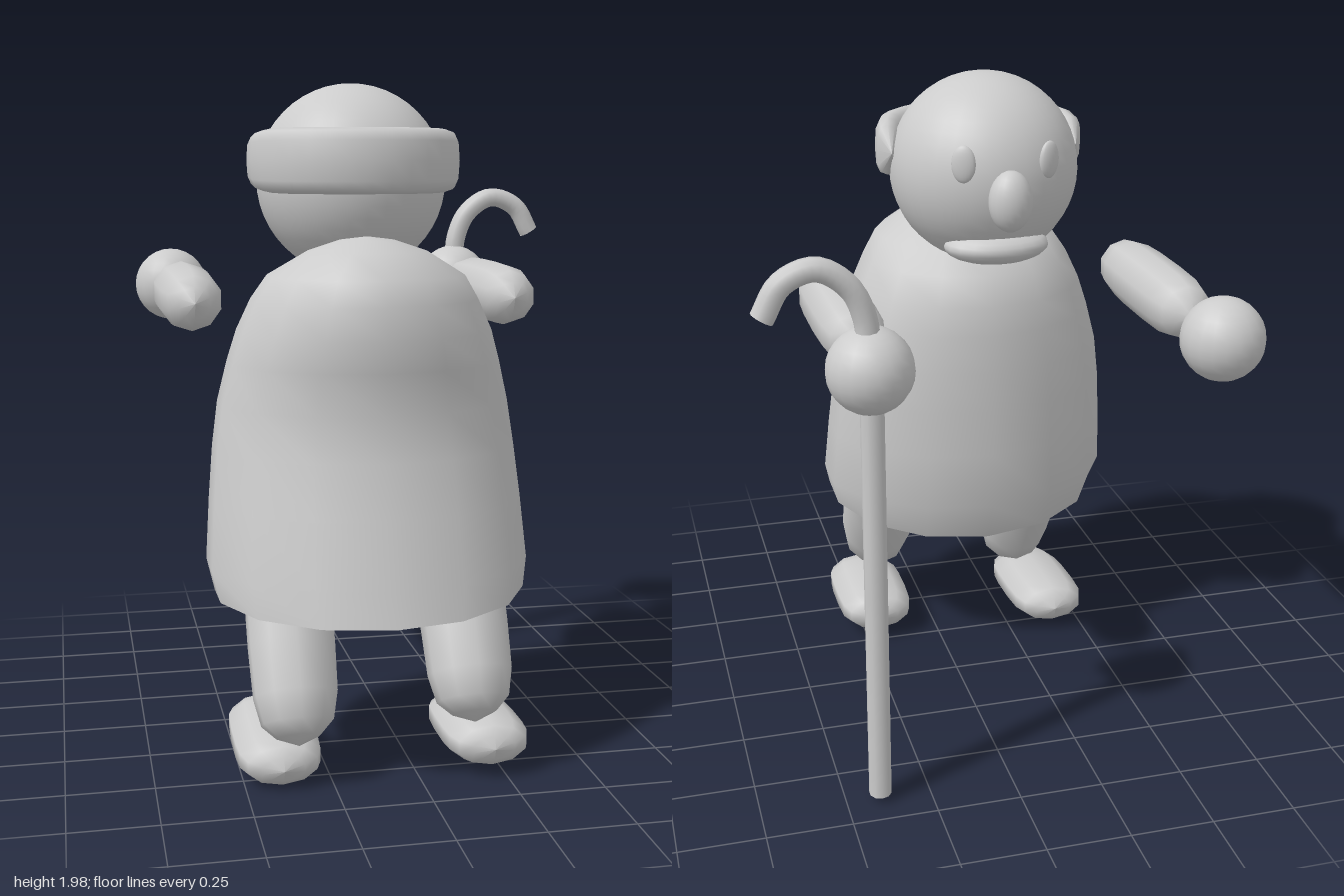
import * as THREE from 'three';

const grey = new THREE.MeshStandardMaterial({ color: 0xcccccc });
const cloth = new THREE.MeshStandardMaterial({ color: 0xcccccc, side: THREE.DoubleSide });

function add(group, name, geometry, position = [0, 0, 0], material = grey) {
  const mesh = new THREE.Mesh(geometry, material);
  mesh.name = name;
  mesh.position.set(...position);
  group.add(mesh);
  return mesh;
}

// Ellipsoid given by its three radii
function ball(rx, ry, rz, w = 20, h = 14) {
  return new THREE.SphereGeometry(1, w, h).scale(rx, ry, rz);
}

// Blunt-ended limb along y, centred on the origin
function limbGeometry(length, radius, sides = 10) {
  const profile = [[0, -0.5], [0.5, -0.465], [0.82, -0.41], [0.96, -0.3], [1, -0.1],
    [1, 0.15], [0.96, 0.3], [0.82, 0.41], [0.5, 0.465], [0, 0.5]];
  return new THREE.LatheGeometry(
    profile.map(([r, t]) => new THREE.Vector2(r * radius, t * length)), sides);
}

// Skin over closed rings of equal point count
function loft(rings) {
  const n = rings[0].length;
  const index = [];
  for (let i = 0; i < rings.length - 1; i++) {
    for (let j = 0; j < n; j++) {
      const a = i * n + j, b = i * n + (j + 1) % n;
      index.push(a, b, a + n, b, b + n, a + n);
    }
  }
  const geometry = new THREE.BufferGeometry();
  geometry.setAttribute('position', new THREE.Float32BufferAttribute(rings.flat(2), 3));
  geometry.setIndex(index);
  geometry.computeVertexNormals();
  return geometry;
}

// Open-bottomed robe: height, half width, rear z, chest z
function robeGeometry() {
  const sections = [
    [0.52, 0.455, 0.76, 0.01], [0.62, 0.475, 0.735, -0.04], [0.8, 0.462, 0.685, -0.045],
    [0.95, 0.448, 0.64, -0.045], [1.08, 0.43, 0.62, -0.045], [1.2, 0.4, 0.635, -0.04],
    [1.29, 0.372, 0.65, -0.03], [1.38, 0.33, 0.635, 0.0], [1.45, 0.285, 0.615, 0.07],
    [1.52, 0.17, 0.54, 0.19], [1.55, 0.08, 0.45, 0.28], [1.56, 0.001, 0.365, 0.363]];
  const sides = 14;
  return loft(sections.map(([y, w, z0, z1], row) => {
    const ring = [];
    for (let j = 0; j < sides; j++) {
      const a = -(j + 0.5) / sides * Math.PI * 2;
      const c = Math.cos(a), s = Math.sin(a);
      // the hem dips a little at the chest and lifts at the sides
      const hem = row === 0 ? 0.025 * (1 - Math.abs(s)) - (s < 0 ? 0.03 * -s : 0) : 0;
      ring.push([-0.11 + w * c, y + hem, (z0 + z1) / 2 + s * (z0 - z1) / 2]);
    }
    return ring;
  }));
}

// Horseshoe of hair around the back of the head with tapered ends
function hairGeometry() {
  const rings = [], steps = 18, around = 12;
  for (let i = 0; i <= steps; i++) {
    const t = i / steps * 2 - 1;
    const a = Math.PI / 2 - t * 1.66;
    const size = Math.pow(Math.max(0, 1 - Math.pow(Math.abs(t), 8)), 0.5) + 0.001;
    const ring = [];
    for (let j = 0; j < around; j++) {
      const b = j / around * Math.PI * 2;
      const sc = Math.cos(b), ss = Math.sin(b);
      const r = 0.288 + 0.042 * size * Math.sign(sc) * Math.pow(Math.abs(sc), 0.7);
      const y = 1.772 + 0.094 * size * Math.sign(ss) * Math.pow(Math.abs(ss), 0.7);
      ring.push([-0.1 + r * Math.cos(a), y, 0.065 + r * Math.sin(a)]);
    }
    rings.push(ring);
  }
  return loft(rings);
}

export function createModel() {
  const model = new THREE.Group();
  model.name = 'oldMan';

  // Head and face, looking towards -z
  const head = new THREE.Group();
  head.name = 'head';
  model.add(head);
  add(head, 'skull', ball(0.285, 0.285, 0.285, 32, 24), [-0.1, 1.715, 0.062]);
  add(head, 'nose', ball(0.065, 0.09, 0.058), [-0.1, 1.675, -0.233]);
  add(head, 'jaw', ball(0.16, 0.055, 0.112), [-0.1, 1.51, -0.087]);
  for (const s of [-1, 1]) {
    const eye = add(head, s < 0 ? 'rightEye' : 'leftEye', ball(0.036, 0.055, 0.016),
      [-0.1 + s * 0.128, 1.78, -0.187]);
    eye.rotation.y = -s * 0.47;
  }
  add(head, 'hair', hairGeometry(), [0, 0, 0], cloth);

  add(model, 'robe', robeGeometry(), [0, 0, 0], cloth);

  // Arms stretched forward, with round hands
  for (const [name, x, handX] of [['right', -0.583, -0.595], ['left', 0.39, 0.402]]) {
    const arm = add(model, name + 'Arm', limbGeometry(0.64, 0.097), [x, 1.358, -0.152]);
    arm.rotation.x = Math.PI / 2;
    add(model, name + 'Hand', ball(0.12, 0.12, 0.12), [handX, 1.355, -0.645]);
  }

  // Slanted legs: x, lower tip y, lower tip z
  for (const [name, x, y, z] of [['right', -0.35, 0.145, 0.585], ['left', 0.157, 0.185, 0.605]]) {
    const leg = add(model, name + 'Leg', limbGeometry(0.72, 0.128),
      [x, y + 0.36 * Math.cos(0.51), z - 0.36 * Math.sin(0.51)]);
    leg.rotation.x = -0.51;
  }

  // Flattened feet
  const feet = [['right', [-0.395, 0.095, 0.375], 0.47, 0.06], ['left', [0.208, 0.112, 0.435], 0.42, 0]];
  for (const [name, position, length, tilt] of feet) {
    const foot = add(model, name + 'Foot',
      limbGeometry(length, 0.127).rotateX(Math.PI / 2).scale(1, 0.56, 1), position);
    foot.rotation.x = tilt;
  }

  // Walking stick with a curved handle
  const cane = new THREE.Group();
  cane.name = 'cane';
  model.add(cane);
  add(cane, 'shaft', new THREE.CylinderGeometry(0.033, 0.033, 1.41, 10), [0.4, 0.745, -0.65]);
  const hook = new THREE.CatmullRomCurve3([[0.408, 1.4], [0.414, 1.5], [0.455, 1.59],
    [0.54, 1.643], [0.63, 1.61], [0.682, 1.522]].map(([x, y]) => new THREE.Vector3(x, y, -0.655)));
  add(cane, 'handle', new THREE.TubeGeometry(hook, 24, 0.033, 10));
  const tip = add(cane, 'handleEnd', new THREE.CircleGeometry(0.033, 10),
    hook.getPoint(1).toArray(), cloth);
  tip.quaternion.setFromUnitVectors(new THREE.Vector3(0, 0, 1), hook.getTangent(1));

  return model;
}
